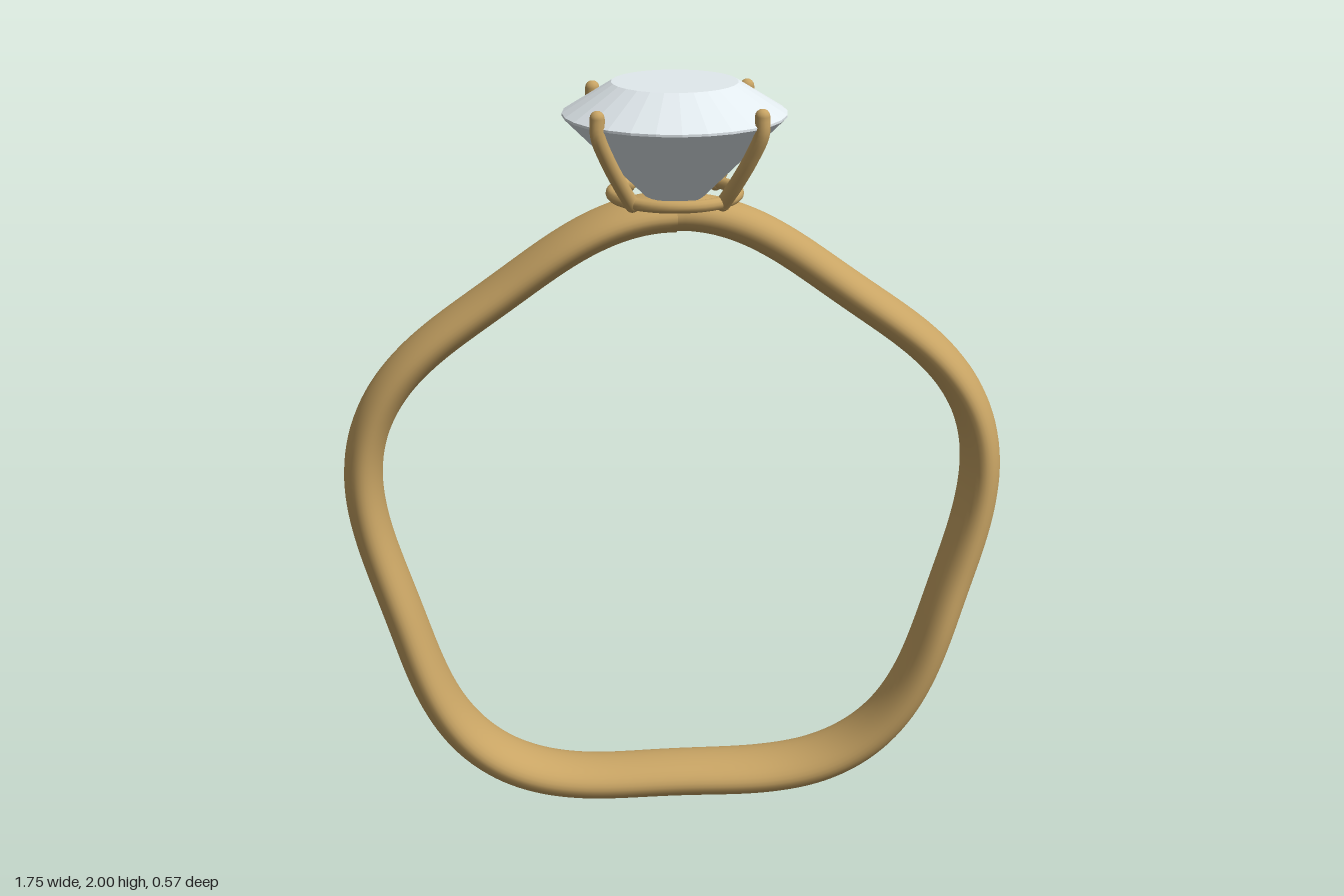
import * as THREE from 'three';

const gold = new THREE.MeshStandardMaterial({ color: 0xc8a464 });
const stone = new THREE.MeshStandardMaterial({ color: 0xe2eaee, flatShading: true });

function add(group, name, geometry, material) {
  const mesh = new THREE.Mesh(geometry, material);
  mesh.name = name;
  group.add(mesh);
  return mesh;
}

// Rounded pentagon centreline; t runs clockwise from the top.
const CENTRE_Y = 0.827;
function bandPoint(t) {
  const r = 0.808 + 0.035 * Math.cos(5 * t);
  return new THREE.Vector2(r * Math.sin(t), CENTRE_Y + r * Math.cos(t));
}

// Wavy front and back edges of the band: [degrees, front z, back z].
const EDGES = [
  [0, 0.08, -0.055], [20, 0.07, -0.065], [37, 0.07, -0.09], [65, 0.08, -0.128],
  [85, 0.088, -0.122], [100, 0.105, -0.09], [115, 0.125, -0.068], [130, 0.118, -0.068],
  [150, 0.098, -0.105], [162, 0.085, -0.12], [180, 0.078, -0.115], [200, 0.088, -0.1],
  [232, 0.12, -0.083], [250, 0.105, -0.083], [270, 0.08, -0.095], [290, 0.078, -0.102],
  [325, 0.09, -0.11], [345, 0.113, -0.105], [360, 0.12, -0.1],
];
function edgesAt(deg) {
  let i = 0;
  while (i < EDGES.length - 2 && deg > EDGES[i + 1][0]) i++;
  const n = EDGES.length - 1;
  const a = EDGES[Math.max(i - 1, 0)], b = EDGES[i], c = EDGES[i + 1], d = EDGES[Math.min(i + 2, n)];
  const span = c[0] - b[0], u = (deg - b[0]) / span;
  return [1, 2].map((k) => {
    const m0 = ((c[k] - a[k]) / (c[0] - a[0])) * span;
    const m1 = ((d[k] - b[k]) / (d[0] - b[0])) * span;
    const u2 = u * u, u3 = u2 * u;
    return (2 * u3 - 3 * u2 + 1) * b[k] + (u3 - 2 * u2 + u) * m0 + (3 * u2 - 2 * u3) * c[k] + (u3 - u2) * m1;
  });
}

// Elliptical section swept round the centreline, with both ends closed at the top seam.
function bandGeometry() {
  const STEPS = 240, SIDES = 32, pos = [], index = [];
  const section = (deg, scale) => {
    const t = THREE.MathUtils.degToRad(deg);
    const p = bandPoint(t);
    const d = bandPoint(t + 0.001).sub(bandPoint(t - 0.001)).normalize();
    const [front, back] = edgesAt(deg);
    const half = (0.051 - 0.003 * Math.cos(t)) * scale;
    for (let j = 0; j < SIDES; j++) {
      const a = (j / SIDES) * Math.PI * 2;
      const out = Math.cos(a) * half;
      const z = (front + back) / 2 + Math.sin(a) * ((front - back) / 2) * scale;
      pos.push(p.x - d.y * out, p.y + d.x * out, z);
    }
  };
  const join = (first, rows) => {
    for (let i = 0; i < rows; i++) {
      for (let j = 0; j < SIDES; j++) {
        const k = (j + 1) % SIDES, s = first + i * SIDES;
        index.push(s + j, s + k, s + SIDES + j, s + k, s + SIDES + k, s + SIDES + j);
      }
    }
  };
  for (let i = 0; i <= STEPS; i++) section((i / STEPS) * 360, 1);
  join(0, STEPS);
  for (const [deg, from, to] of [[0, 0, 1], [360, 1, 0]]) {
    const first = pos.length / 3;
    section(deg, from);
    section(deg, to);
    join(first, 1);
  }
  const g = new THREE.BufferGeometry();
  g.setAttribute('position', new THREE.Float32BufferAttribute(pos, 3));
  g.setIndex(index);
  g.computeVertexNormals();
  return g;
}

export function createModel() {
  const ring = new THREE.Group();
  ring.name = 'ring';
  add(ring, 'band', bandGeometry(), gold);

  // Setting: a thin wire seat and four claws
  const setting = new THREE.Group();
  setting.name = 'setting';
  ring.add(setting);
  const seat = add(setting, 'seat', new THREE.TorusGeometry(0.16, 0.016, 12, 48), gold);
  seat.rotation.x = Math.PI / 2;
  seat.position.y = 1.716;

  const path = new THREE.CatmullRomCurve3(
    [[0.16, 1.712], [0.2, 1.765], [0.25, 1.84], [0.283, 1.905], [0.284, 1.948]]
      .map(([x, y]) => new THREE.Vector3(x, y, 0)));
  for (let i = 0; i < 4; i++) {
    const claw = new THREE.Group();
    claw.name = 'claw';
    claw.rotation.y = Math.PI / 4 + (i * Math.PI) / 2;
    add(claw, 'clawWire', new THREE.TubeGeometry(path, 24, 0.019, 12), gold);
    for (const end of [0, 1]) {
      add(claw, end ? 'clawTip' : 'clawFoot', new THREE.SphereGeometry(0.019, 12, 8), gold)
        .position.copy(path.getPoint(end));
    }
    setting.add(claw);
  }

  // Faceted stone: pointed base, thin girdle, sloped crown and flat table
  const profile = [[0, 1.635], [0.284, 1.917], [0.284, 1.923], [0.16, 2], [0, 2]]
    .map(([x, y]) => new THREE.Vector2(x, y));
  add(ring, 'gemstone', new THREE.LatheGeometry(profile, 28), stone);
  return ring;
}
